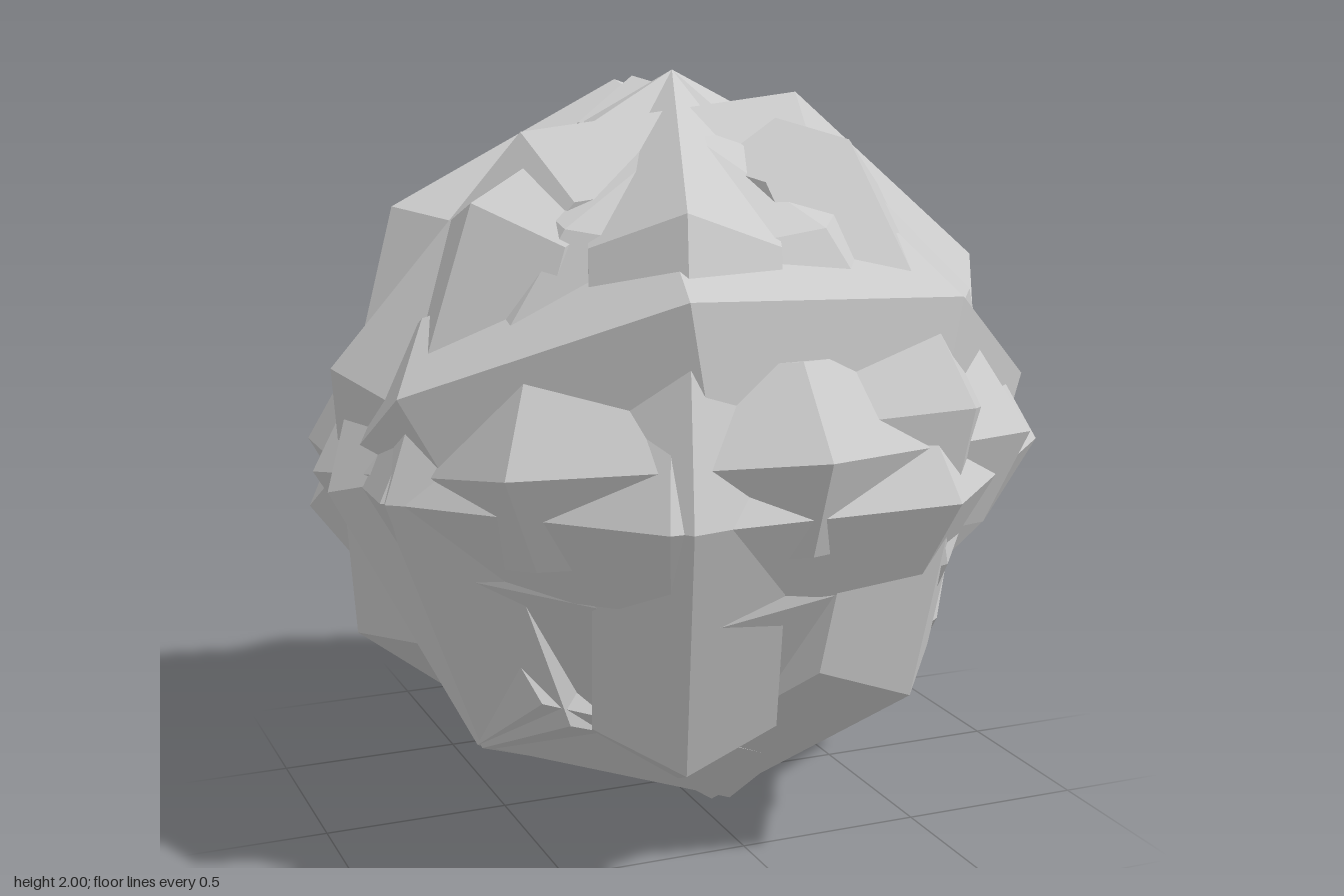
import * as THREE from 'three';

// Faceted ball: a coarse core wrapped by eight-sided rings of hexagonal section.
export function createModel() {
  const group = new THREE.Group();
  const material = new THREE.MeshStandardMaterial({ color: 0xcccccc, flatShading: true });

  const RING = 0.73, TUBE = 0.27;
  const band = new THREE.TorusGeometry(RING, TUBE, 6, 8);

  // Matrix whose z axis is the given axis and whose x axis points toward start
  const frame = (axis, start) => {
    const z = new THREE.Vector3(...axis).normalize();
    const x = new THREE.Vector3(...start);
    x.addScaledVector(z, -x.dot(z)).normalize();
    const y = new THREE.Vector3().crossVectors(z, x);
    return new THREE.Matrix4().makeBasis(x, y, z);
  };

  const add = (name, geometry, axis, start) => {
    const mesh = new THREE.Mesh(geometry, material);
    mesh.name = name;
    mesh.quaternion.setFromRotationMatrix(frame(axis, start));
    mesh.position.y = 1;
    group.add(mesh);
  };

  // Core, its poles tilted forward
  const core = new THREE.SphereGeometry(0.905, 8, 6).rotateX(Math.PI / 2);
  add('core', core, [-0.08, 0.955, 0.295], [-0.13, -0.17, 0.43]);

  // Rings: name, axis, direction of one corner
  const rings = [
    ['equatorBand', [0, 1, 0], [0.924, 0, 0.383]],
    ['tiltedEquatorBand', [0, 0.989, -0.15], [1, 0, 0]],
    ['uprightFrontBand', [0.94, 0, 0.33], [0, 1, 0]],
    ['leaningBand', [0, 0.84, -0.54], [0.47, 0.47, 0.73]],
    ['crossBandBack', [0.112, 0.276, 0.954], [-0.06, 0.96, -0.27]],
    ['crossBandFront', [-0.014, 0.173, -0.985], [0.28, 0.93, 0.16]],
    ['uprightSideBand', [0.4, 0, 0.915], [0, 1, 0]],
    ['diagonalBand', [0.895, -0.087, -0.438], [0.33, -0.53, 0.78]],
  ];
  for (const [name, axis, start] of rings) add(name, band, axis, start);

  return group;
}
